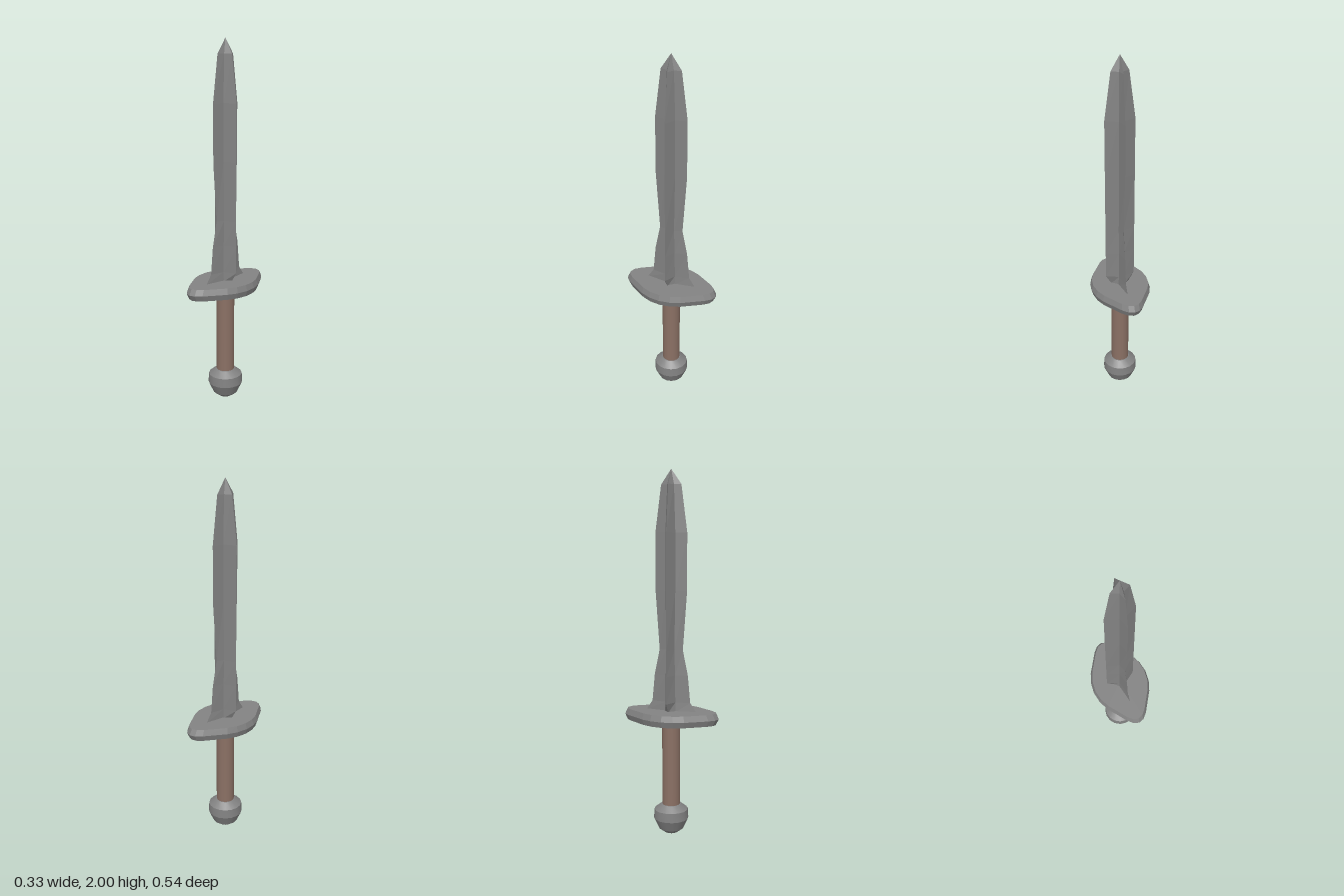
import * as THREE from 'three';
import { toCreasedNormals } from 'three/addons/utils/BufferGeometryUtils.js';

// Joins rings of equal point count, listed from bottom to top, and caps both ends.
function loft(rings) {
  const n = rings[0].length, count = rings.length;
  const position = rings.flat(2);
  const index = [];
  for (let i = 0; i < count - 1; i++) {
    for (let j = 0; j < n; j++) {
      const a = i * n + j, b = i * n + (j + 1) % n;
      index.push(a, a + n, b, a + n, b + n, b);
    }
  }
  const bottom = position.length / 3, top = bottom + 1;
  position.push(0, rings[0][0][1], 0, 0, rings[count - 1][0][1], 0);
  for (let j = 0; j < n; j++) {
    const k = (j + 1) % n, last = (count - 1) * n;
    index.push(bottom, j, k, top, last + k, last + j);
  }
  const geometry = new THREE.BufferGeometry();
  geometry.setAttribute('position', new THREE.Float32BufferAttribute(position, 3));
  geometry.setIndex(index);
  return geometry.toNonIndexed();
}

// Four-pointed star section: sharp edges at ±x and ±z, hollow corners between.
function starRing([y, x, z, hollowX, hollowZ]) {
  return [
    [x, y, 0], [hollowX, y, hollowZ], [0, y, z], [-hollowX, y, hollowZ],
    [-x, y, 0], [-hollowX, y, -hollowZ], [0, y, -z], [hollowX, y, -hollowZ],
  ];
}

// Full guard outline mirrored from one quarter.
function guardRing(y, inset) {
  const quarter = [[0.167, 0], [0.158, 0.064], [0.135, 0.12], [0.06, 0.232], [0.031, 0.262], [0, 0.272]];
  const half = [...quarter, ...quarter.slice(0, -1).reverse().map(([x, z]) => [-x, z])];
  const outline = [...half, ...half.slice(1, -1).reverse().map(([x, z]) => [x, -z])];
  return outline.map(([x, z]) => [x * (1 - inset), y, z * (1 - inset)]);
}

export function createModel() {
  const group = new THREE.Group();
  const flatMetal = new THREE.MeshStandardMaterial({ color: 0x828282, flatShading: true });
  const metal = new THREE.MeshStandardMaterial({ color: 0x828282 });
  const wood = new THREE.MeshStandardMaterial({ color: 0x8a7064 });

  function add(name, geometry, material) {
    if (!geometry.attributes.normal) geometry.computeVertexNormals();
    const mesh = new THREE.Mesh(geometry, material);
    mesh.name = name;
    group.add(mesh);
  }

  // Blade sections: height, x reach, z reach, hollow corner x and z
  const sections = [
    [0.697, 0.05, 0.146, 0.018, 0.03],
    [0.75, 0.082, 0.11, 0.015, 0.029],
    [0.9, 0.082, 0.096, 0.014, 0.027],
    [1.04, 0.082, 0.067, 0.014, 0.023],
    [1.36, 0.082, 0.09, 0.014, 0.028],
    [1.67, 0.082, 0.09, 0.014, 0.028],
    [1.92, 0.048, 0.057, 0.01, 0.019],
    [2, 0, 0, 0, 0],
  ];
  add('blade', loft(sections.map(starRing)), flatMetal);

  // Guard with a bevelled rim
  add('guard', loft([guardRing(0.638, 0.06), guardRing(0.67, 0), guardRing(0.702, 0.06)]), flatMetal);

  // Round grip
  const grip = new THREE.CylinderGeometry(0.05, 0.05, 0.5, 16);
  grip.translate(0, 0.4, 0);
  add('grip', grip, wood);

  // Banded pommel
  const profile = [[0, 0], [0.038, 0.002], [0.07, 0.026], [0.097, 0.084], [0.094, 0.136], [0.055, 0.166], [0, 0.166]];
  const pommel = new THREE.LatheGeometry(profile.map(([r, y]) => new THREE.Vector2(r, y)), 16);
  add('pommel', toCreasedNormals(pommel, 0.42), metal);

  return group;
}
